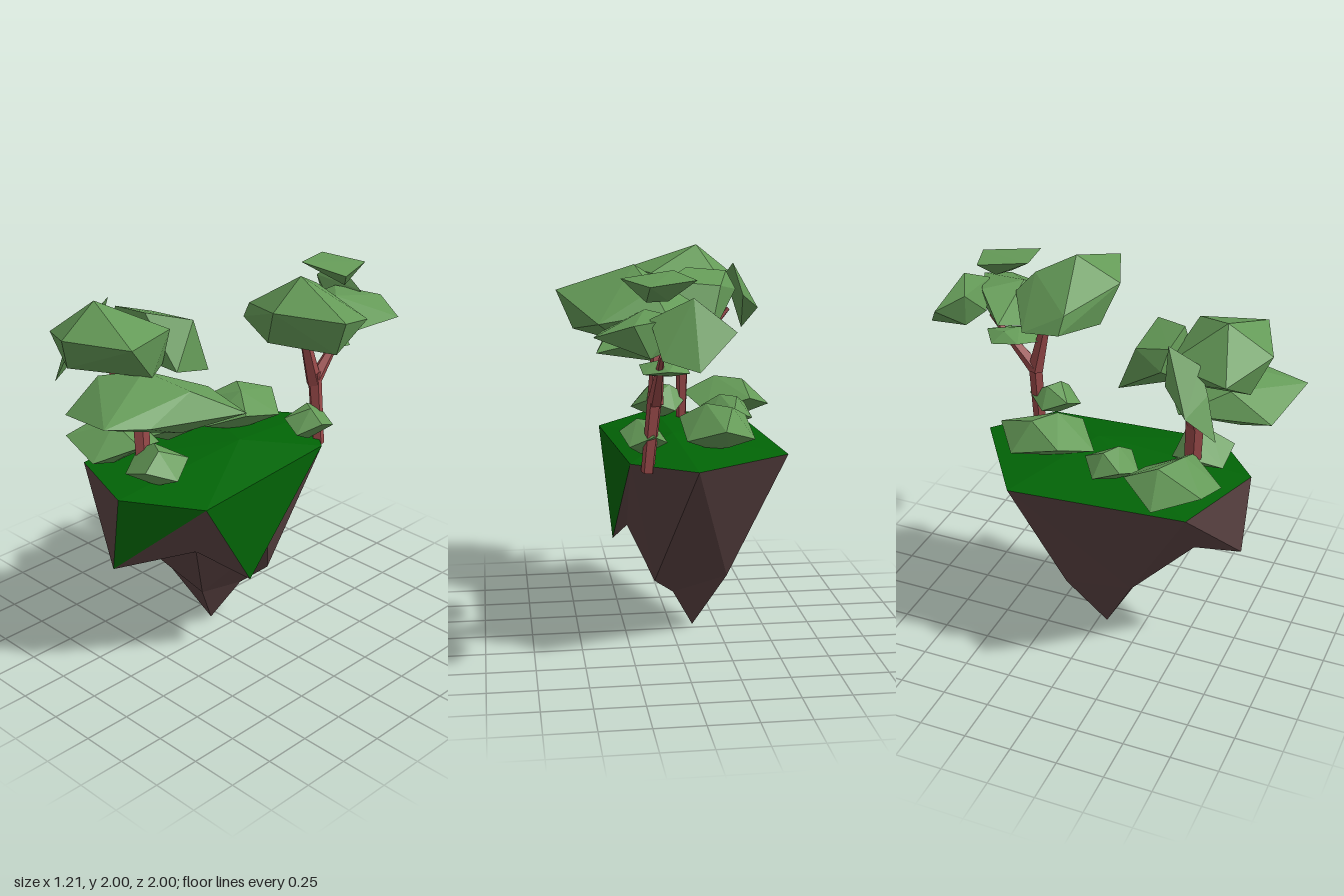
import * as THREE from 'three';
import { ConvexGeometry } from 'three/addons/geometries/ConvexGeometry.js';

const mat = (name, color, side = THREE.FrontSide) => {
  const m = new THREE.MeshStandardMaterial({ color, side, flatShading: true });
  m.name = name;
  return m;
};
const V = (p) => new THREE.Vector3(...p);

export function createModel() {
  const leaf = mat('leafGreen', 0x659b58);
  const bark = mat('barkRed', 0x9a4a4a);
  const grass = mat('grassGreen', 0x026406, THREE.DoubleSide);
  const rock = mat('rockBrown', 0x5a4242, THREE.DoubleSide);
  const model = new THREE.Group();
  model.name = 'floatingIsland';

  const add = (name, geometry, material, parent = model) => {
    const mesh = new THREE.Mesh(geometry, material);
    mesh.name = name;
    parent.add(mesh);
    return mesh;
  };

  // Island corners: rim, hanging grass lips, upper rock, lower rock, tip
  const P = {
    F: [0, 1.05, 0.79], FR: [0.34, 1.02, 0.52], BR: [0.26, 1.03, -0.41],
    B: [-0.05, 1.04, -0.66], BL: [-0.56, 1.03, -0.31], FL: [-0.48, 1.03, 0.61],
    top: [0, 1.1, -0.05], lipF: [-0.07, 0.63, 0.78], lipR: [0.3, 0.47, 0.17],
    u0: [-0.3, 0.76, 0.6], u1: [0.2, 0.71, 0.46], u2: [0.24, 0.6, -0.02],
    m0: [-0.02, 0.27, 0.21], m1: [0.11, 0.33, -0.16], m2: [-0.28, 0.33, -0.12],
    m3: [-0.25, 0.36, 0.24], k: [0, 0.23, -0.06], tip: [-0.12, 0, 0.05],
  };
  const surface = (faces) => {
    const g = new THREE.BufferGeometry();
    g.setFromPoints(faces.flatMap((f) => f.split(' ').map((n) => V(P[n]))));
    g.computeVertexNormals();
    return g;
  };
  add('grassTop', surface([
    'top F FR', 'top FR BR', 'top BR B', 'top B BL', 'top BL FL', 'top FL F',
    'F lipF FR', 'FR lipR BR',
  ]), grass);
  add('rockBase', surface([
    'FL lipF F', 'FL u0 lipF', 'lipF u1 FR', 'lipF u0 u1', 'FR u1 lipR', 'u1 u2 lipR',
    'lipR u2 BR', 'BR u2 m1', 'BR m1 B', 'B m1 m2', 'B m2 BL', 'BL m2 m3', 'BL m3 FL',
    'FL m3 u0', 'u0 m3 m0', 'u0 m0 u1', 'u1 m0 u2', 'u2 m0 k', 'u2 k m1',
    'm0 tip k', 'm1 k m2', 'k tip m2', 'm2 tip m3', 'm3 tip m0',
  ]), rock);

  // Tapered five-sided limb between two points, optionally deeper than wide
  const limb = (name, parent, a, b, ra, rb, depth = 1) => {
    const from = V(a), dir = V(b).sub(from);
    const geometry = new THREE.CylinderGeometry(rb, ra, dir.length(), 5);
    const mesh = add(name, geometry.scale(1, 1, depth), bark, parent);
    mesh.position.copy(from).addScaledVector(dir, 0.5);
    mesh.quaternion.setFromUnitVectors(new THREE.Vector3(0, 1, 0), dir.normalize());
  };
  // Faceted leaf clump around a few outer points
  const clump = (name, parent, pts) => add(name, new ConvexGeometry(pts.map(V)), leaf, parent);
  const group = (name) => {
    const g = new THREE.Group();
    g.name = name;
    model.add(g);
    return g;
  };

  // Front tree
  const front = group('frontTree');
  limb('trunk', front, [-0.12, 1.0, 0.51], [-0.13, 1.4, 0.52], 0.029, 0.033, 1.5);
  limb('upperTrunk', front, [-0.13, 1.38, 0.52], [-0.1, 1.7, 0.55], 0.033, 0.022, 1.4);
  limb('sideBranch', front, [-0.12, 1.36, 0.52], [-0.39, 1.66, 0.55], 0.04, 0.012);
  clump('lowerClump', front, [
    [-0.32, 1.52, 0.5], [-0.2, 1.49, 0.93], [0.17, 1.55, 1], [0.26, 1.52, 0.8],
    [0.37, 1.47, 0.27], [0.1, 1.53, 0.27], [0, 1.68, 0.6], [-0.2, 1.63, 0.72],
    [0.24, 1.62, 0.52], [-0.1, 1.4, 0.75], [0.03, 1.38, 0.5], [0.2, 1.4, 0.55],
  ]);
  clump('upperClump', front, [
    [-0.23, 2, 0.7], [-0.48, 1.8, 0.78], [-0.21, 1.86, 0.92], [0.14, 1.87, 0.79],
    [0.05, 1.87, 0.47], [-0.35, 1.8, 0.45], [-0.28, 1.68, 0.84], [0.06, 1.66, 0.6],
    [-0.3, 1.68, 0.5], [-0.02, 1.67, 0.46],
  ]);
  clump('rearClump', front, [
    [-0.14, 1.9, 0.46], [0, 1.85, 0.27], [0, 1.56, 0.17], [-0.22, 1.54, 0.15],
    [-0.3, 1.82, 0.27], [0.06, 1.64, 0.44], [-0.25, 1.67, 0.48],
    [-0.41, 1.78, 0.44], [-0.36, 1.88, 0.46],
  ]);
  clump('sideClump', front, [
    [-0.57, 1.65, 0.62], [-0.5, 1.52, 0.75], [-0.4, 1.92, 0.47],
    [-0.38, 1.84, 0.62], [-0.46, 1.74, 0.48], [-0.43, 1.72, 0.68],
  ]);

  // Back tree
  const back = group('backTree');
  limb('trunk', back, [0.18, 1.0, -0.47], [0.14, 1.4, -0.47], 0.034, 0.038);
  limb('frontBranch', back, [0.14, 1.34, -0.47], [0.12, 1.7, -0.38], 0.043, 0.022);
  limb('rearBranch', back, [0.14, 1.35, -0.47], [0.14, 1.62, -0.72], 0.04, 0.012);
  clump('frontClump', back, [
    [0.22, 2, -0.26], [0.6, 1.87, -0.17], [0.25, 1.87, -0.03], [-0.08, 1.8, -0.2],
    [0.52, 1.68, -0.2], [0.15, 1.67, -0.1], [0.42, 1.75, -0.55], [0.1, 1.8, -0.55],
    [0.15, 1.9, -0.46], [0.3, 1.65, -0.46], [-0.13, 1.71, -0.21], [-0.11, 1.68, -0.42],
  ]);
  clump('middleClump', back, [
    [0.46, 1.72, -0.75], [0.28, 1.78, -0.82], [0.05, 1.8, -0.72], [0.2, 1.82, -0.55],
    [0.4, 1.7, -0.45], [0.2, 1.61, -0.6], [-0.12, 1.7, -0.55], [0.08, 1.63, -0.45],
    [0.2, 1.62, -0.78],
  ]);
  clump('rearClump', back, [
    [-0.19, 1.75, -0.87], [0, 1.59, -1], [0.16, 1.63, -0.9], [0.2, 1.8, -0.75],
    [0, 1.9, -0.79], [-0.05, 1.63, -0.77], [0.05, 1.68, -0.7], [-0.1, 1.82, -0.74],
  ]);
  clump('topClump', back, [
    [-0.03, 1.97, -0.7], [0.05, 1.99, -0.45], [0.2, 1.95, -0.78], [0.31, 1.96, -0.5],
    [0.1, 1.87, -0.66], [0.2, 1.86, -0.62],
  ]);

  // Bush: jagged six-cornered rim with off-centre crown and base
  const bush = (name, parent, centre, size, turn) => {
    const pts = [[0.25, 1, 0.15], [-0.35, 0.95, -0.2], [0.1, -1, 0.1], [-0.25, -0.75, -0.25]];
    for (let i = 0; i < 6; i++) {
      const a = turn + (i * Math.PI) / 3;
      pts.push([Math.cos(a), i % 2 ? -0.3 : 0.3, Math.sin(a)]);
    }
    const g = new ConvexGeometry(pts.map(V)).scale(...size);
    add(name, g, leaf, parent).position.set(...centre);
  };
  const bushes = group('bushes');
  bush('leftFrontBush', bushes, [-0.37, 1.165, 0.5], [0.24, 0.12, 0.24], 0.1);
  bush('frontBush', bushes, [0, 1.15, 0.53], [0.16, 0.1, 0.16], 1.1);
  bush('leftBush', bushes, [-0.32, 1.16, 0.16], [0.14, 0.09, 0.14], 0.4);
  bush('rearLeftBush', bushes, [-0.2, 1.165, -0.25], [0.2, 0.12, 0.26], 0.5);
  bush('rearRightBush', bushes, [0.19, 1.16, -0.38], [0.12, 0.09, 0.14], 0.2);
  bush('lowLeaves', back, [0.11, 1.535, -0.58], [0.13, 0.038, 0.15], 0.5);
  return model;
}
